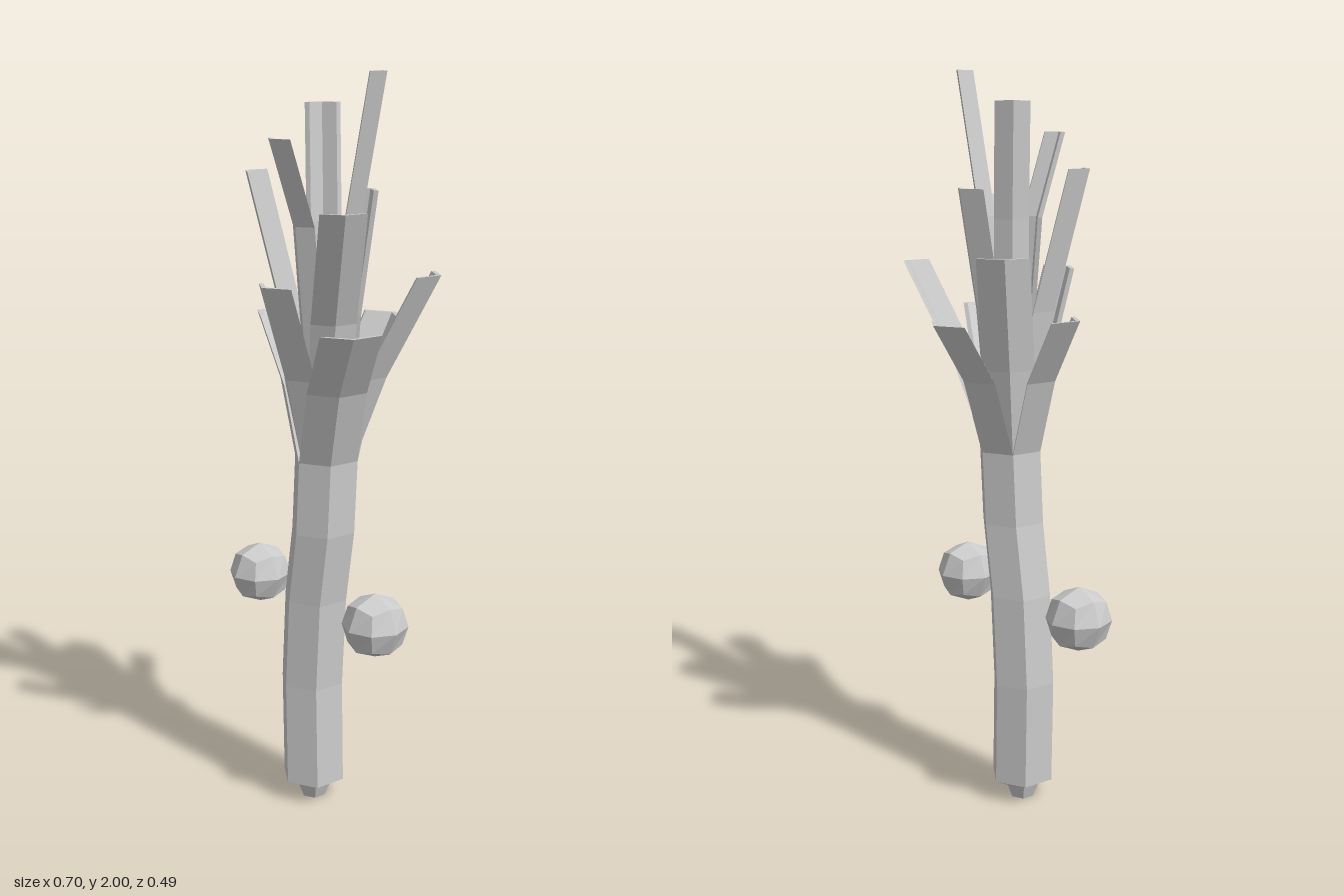
import * as THREE from 'three';

const material = new THREE.MeshStandardMaterial({ color: 0xcccccc, flatShading: true });

// Point on a horizontal ring; angle in degrees, counter-clockwise from above
function ringPoint([x, y, z], r, deg) {
  const a = THREE.MathUtils.degToRad(deg);
  return new THREE.Vector3(x + r * Math.cos(a), y, z - r * Math.sin(a));
}

const hexRing = (centre, r) =>
  [30, 90, 150, 210, 270, 330].map((deg) => ringPoint(centre, r, deg));

// Two adjoining sides of a hexagon, with thickness
function leafRing(centre, r, deg, thickness) {
  const angles = [deg - 60, deg, deg + 60];
  const outer = angles.map((a) => ringPoint(centre, r, a));
  const inner = angles.map((a) => ringPoint(centre, r - thickness, a));
  return [...outer, ...inner.reverse()];
}

// Join a stack of rings and close both ends
function loft(name, rings) {
  const pos = [];
  const quad = (a, b, c, d) => [a, b, c, a, c, d].forEach((p) => pos.push(p.x, p.y, p.z));
  const n = rings[0].length;
  for (let k = 0; k < rings.length - 1; k++) {
    const lo = rings[k], hi = rings[k + 1];
    for (let i = 0; i < n; i++) {
      const j = (i + 1) % n;
      quad(lo[i], lo[j], hi[j], hi[i]);
    }
  }
  const bottom = rings[0], top = rings[rings.length - 1];
  for (let i = 0; i < n / 2 - 1; i++) {
    quad(top[i], top[i + 1], top[n - 2 - i], top[n - 1 - i]);
    quad(bottom[n - 1 - i], bottom[n - 2 - i], bottom[i + 1], bottom[i]);
  }
  const geo = new THREE.BufferGeometry();
  geo.setAttribute('position', new THREE.Float32BufferAttribute(pos, 3));
  geo.computeVertexNormals();
  const mesh = new THREE.Mesh(geo, material);
  mesh.name = name;
  return mesh;
}

// Ball made from a rounded-out cube
function ball(name, x) {
  const geo = new THREE.BoxGeometry(1, 1, 1, 2, 2, 2);
  const p = geo.attributes.position;
  const v = new THREE.Vector3();
  for (let i = 0; i < p.count; i++) {
    v.fromBufferAttribute(p, i).setLength(0.088);
    p.setXYZ(i, v.x, v.y, v.z);
  }
  geo.computeVertexNormals();
  const mesh = new THREE.Mesh(geo, material);
  mesh.name = name;
  mesh.position.set(x, 0.595, 0.028);
  return mesh;
}

// Leaf layers from outside in; tips hold [angle, x, y, z] of the section centre
const layers = [
  { r: 0.09, start: 1.0, bend: 1.2, tips: [[90, 0.005, 1.36, -0.155], [210, -0.122, 1.37, 0.025], [330, 0.215, 1.37, 0.085]] },
  { r: 0.08, start: 1.0, bend: 1.23, tips: [[270, 0.07, 1.48, 0.165], [150, -0.058, 1.53, -0.075], [30, 0.213, 1.5, -0.12]] },
  { r: 0.068, start: 1.03, bend: 1.38, tips: [[90, 0.037, 1.7, -0.072], [210, -0.076, 1.75, 0.114], [330, 0.223, 1.67, 0.114]] },
  { r: 0.053, start: 1.1, bend: 1.62, tips: [[270, 0.07, 1.84, 0.162], [150, 0, 1.92, -0.003], [30, 0.181, 2.0, 0.005]] },
];

export function createModel() {
  const model = new THREE.Group();

  // Root stub and gently curved stem
  model.add(loft('root', [
    hexRing([-0.005, 0, 0.03], 0.034),
    hexRing([-0.005, 0.04, 0.03], 0.05),
    hexRing([-0.005, 0.06, 0.03], 0.09),
  ]));
  model.add(loft('stem', [
    hexRing([-0.005, 0.06, 0.03], 0.09),
    hexRing([-0.011, 0.35, 0.03], 0.09),
    hexRing([0.003, 0.6, 0.028], 0.09),
    hexRing([0.033, 0.8, 0.025], 0.09),
  ]));

  // Leaves wrap the upper stem, then splay outward
  const leaves = new THREE.Group();
  leaves.name = 'leaves';
  for (const { r, start, bend, tips } of layers) {
    for (const [deg, x, y, z] of tips) {
      const centres = [
        [0.033, 0.8, 0.025],
        [0.04, start, 0.02],
        [0.04 + (x - 0.04) * 0.38, bend, 0.02 + (z - 0.02) * 0.38],
        [x, y, z],
      ];
      leaves.add(loft('leaf', centres.map((c) => leafRing(c, r, deg, 0.013))));
    }
  }
  model.add(leaves);

  // Core shoot in the middle of the leaves
  model.add(loft('core', [
    hexRing([0.033, 0.8, 0.025], 0.035),
    hexRing([0.04, 1.0, 0.02], 0.035),
    hexRing([0.036, 1.25, 0.02], 0.015),
  ]));

  // Balls floating at either side
  model.add(ball('leftBall', 0.26), ball('rightBall', -0.26));
  return model;
}
